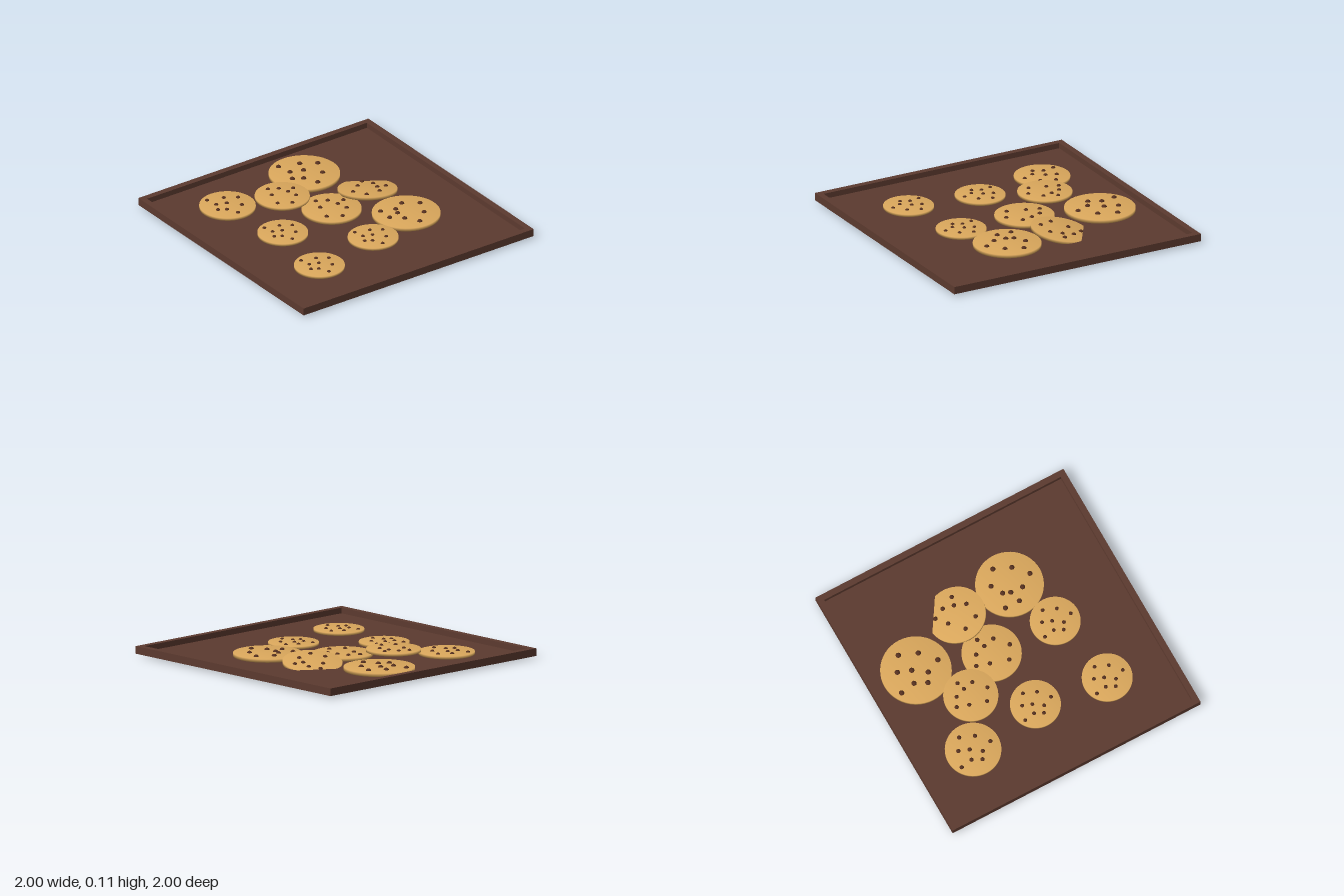
import * as THREE from 'three';
import { mergeVertices } from 'three/addons/utils/BufferGeometryUtils.js';

const trayMat = new THREE.MeshStandardMaterial({ color: 0x5c3a2f });
const doughMat = new THREE.MeshStandardMaterial({ color: 0xdba85c });
const chipMat = new THREE.MeshStandardMaterial({ color: 0x55301f });

const BOTTOM = 0.015, FLOOR = 0.03, RIM = 0.07, INNER = 0.955;

// Chip layouts as [x, z] on a cookie of radius 1
const scattered = [[-0.4, -0.68], [0.19, -0.49], [0.62, -0.22], [-0.32, -0.24], [0.05, -0.11],
  [-0.49, 0.11], [-0.22, 0.27], [0.41, 0.3], [-0.03, 0.68]];
const open = [[-0.16, -0.67], [0.19, -0.48], [-0.3, -0.23], [0.63, -0.2], [0.33, -0.1],
  [-0.49, 0.4], [0.41, 0.29], [-0.03, 0.67]];
const wide = [[-0.59, -0.46], [-0.15, -0.31], [0.2, -0.5], [0.64, -0.2], [-0.59, 0],
  [-0.24, -0.09], [-0.26, 0.29], [0.42, 0.31], [0, 0.68]];
const leaning = [[0.25, -0.66], [-0.13, -0.38], [0.43, -0.28], [-0.61, 0.03], [0.33, 0.1],
  [0.63, 0.18], [-0.41, 0.53], [0.15, 0.48]];

// Cookie disc with soft shading across its rim, radius 1
function doughGeometry() {
  const g = new THREE.CylinderGeometry(1, 1, 0.1, 48);
  g.deleteAttribute('normal');
  g.deleteAttribute('uv');
  const merged = mergeVertices(g);
  merged.computeVertexNormals();
  return merged;
}

const doughGeo = doughGeometry();
const chipGeo = new THREE.SphereGeometry(0.08, 14, 10);

function addMesh(parent, name, geometry, material) {
  const mesh = new THREE.Mesh(geometry, material);
  mesh.name = name;
  parent.add(mesh);
  return mesh;
}

function makeCookie({ x, z, r, y = 0.045, chips = scattered, normal }) {
  const cookie = new THREE.Group();
  cookie.name = 'cookie';
  addMesh(cookie, 'dough', doughGeo, doughMat);
  for (const [cx, cz] of chips) {
    addMesh(cookie, 'chocolateChip', chipGeo, chipMat).position.set(cx, 0.03, cz);
  }
  cookie.scale.setScalar(r);
  cookie.position.set(x, y, z);
  if (normal) {
    cookie.quaternion.setFromUnitVectors(new THREE.Vector3(0, 1, 0), new THREE.Vector3(...normal).normalize());
  }
  return cookie;
}

// Square tray: floor slab with a raised rim
function makeTray() {
  const tray = new THREE.Group();
  tray.name = 'tray';
  addMesh(tray, 'trayFloor', new THREE.BoxGeometry(2 * INNER, FLOOR - BOTTOM, 2 * INNER), trayMat)
    .position.y = (FLOOR + BOTTOM) / 2;

  const square = (P, s) => new P([[-s, -s], [s, -s], [s, s], [-s, s]].map(p => new THREE.Vector2(...p)));
  const outline = square(THREE.Shape, 1);
  outline.holes.push(square(THREE.Path, INNER));
  const rimGeo = new THREE.ExtrudeGeometry(outline, { depth: RIM - BOTTOM, bevelEnabled: false });
  rimGeo.rotateX(-Math.PI / 2);
  addMesh(tray, 'trayRim', rimGeo, trayMat).position.y = BOTTOM;
  return tray;
}

export function createModel() {
  const model = new THREE.Group();
  model.name = 'cookieTray';
  model.add(makeTray());

  const cookies = [
    { x: -0.53, z: -0.575, r: 0.2 },
    { x: -0.445, z: -0.025, r: 0.18 },
    { x: -0.515, z: 0.515, r: 0.18 },
    { x: 0.035, z: 0.4, r: 0.18 },
    { x: 0.185, z: -0.64, r: 0.253 },
    { x: 0.43, z: 0.25, r: 0.243, chips: wide },
    { x: 0.04, z: -0.11, r: 0.213, chips: open },
    // Lies on top of its neighbours
    { x: -0.18, z: -0.4, r: 0.195, y: 0.088, chips: open },
    // Leans on its neighbours, low end through the floor
    { x: 0.41, z: -0.19, r: 0.212, y: 0.048, chips: leaning, normal: [0.097, 1, -0.151] },
  ];
  for (const c of cookies) model.add(makeCookie(c));
  return model;
}
